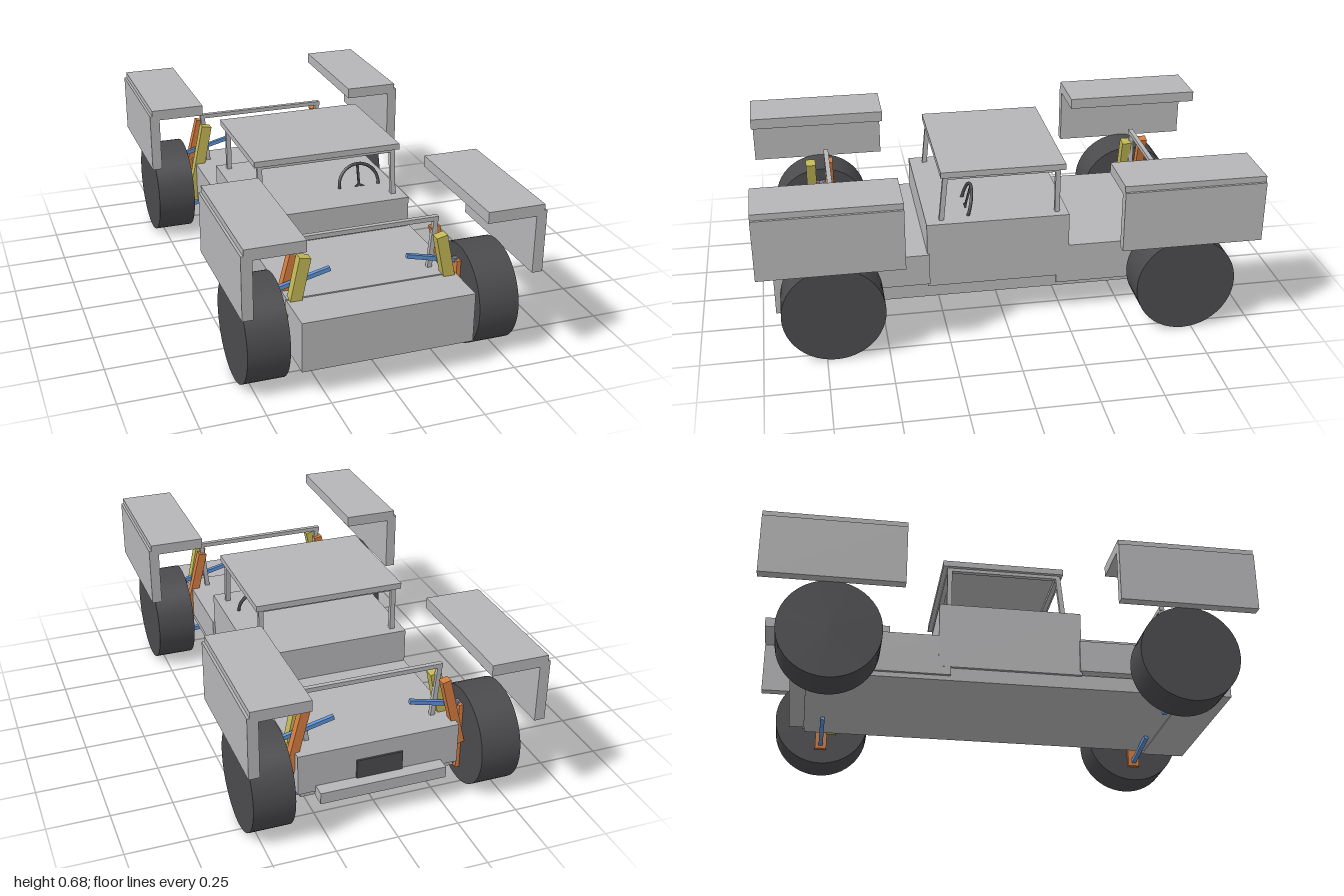
import * as THREE from 'three';

const mat = (name, color) => {
  const m = new THREE.MeshStandardMaterial({ color });
  m.name = name;
  return m;
};

export function createModel() {
  const model = new THREE.Group();
  model.name = 'buggy';
  const grey = mat('bodyGrey', 0xb6b6b8);
  const dark = mat('rubberDark', 0x4b4b4e);
  const blue = mat('armBlue', 0x5f93d4);
  const orange = mat('strutOrange', 0xd37c3f);
  const yellow = mat('shockYellow', 0xc2b856);

  const add = (name, geometry, material) => {
    const mesh = new THREE.Mesh(geometry, material);
    mesh.name = name;
    model.add(mesh);
    return mesh;
  };
  // Box given by its limits on each axis
  const box = (name, material, [x0, x1], [y0, y1], [z0, z1]) =>
    add(name, new THREE.BoxGeometry(x1 - x0, y1 - y0, z1 - z0), material)
      .position.set((x0 + x1) / 2, (y0 + y1) / 2, (z0 + z1) / 2);
  // Square bar from a to b; w is its width across, d its depth along z
  const bar = (name, material, a, b, w, d = w) => {
    const A = new THREE.Vector3(...a), B = new THREE.Vector3(...b);
    const dir = B.clone().sub(A);
    const mesh = add(name, new THREE.BoxGeometry(w, dir.length(), d), material);
    mesh.position.copy(A).add(B).multiplyScalar(0.5);
    mesh.quaternion.setFromUnitVectors(new THREE.Vector3(0, 1, 0), dir.normalize());
  };

  // Chassis and body
  box('floor', grey, [-0.32, 0.32], [0.12, 0.18], [-0.79, 0.8]);
  box('nose', grey, [-0.345, 0.345], [0.115, 0.32], [0.75, 0.94]);
  box('hood', grey, [-0.343, 0.343], [0.19, 0.325], [0.31, 0.76]);
  box('cab', grey, [-0.333, 0.333], [0.175, 0.455], [-0.27, 0.318]);
  box('rearDeck', grey, [-0.332, 0.332], [0.14, 0.312], [-0.8, -0.22]);
  box('rearBumper', grey, [-0.26, 0.26], [0.117, 0.165], [-0.855, -0.79]);
  box('rearPlate', dark, [-0.095, 0.095], [0.15, 0.245], [-0.808, -0.8]);

  // Roof with its frame and posts
  box('roof', grey, [-0.312, 0.312], [0.648, 0.673], [-0.255, 0.255]);
  for (const z of [-0.226, 0.234])
    box('roofCrossRail', grey, [-0.297, 0.297], [0.634, 0.65], [z - 0.01, z + 0.01]);
  for (const s of [-1, 1]) {
    const x = s * 0.287;
    box('roofSideRail', grey, [x - 0.01, x + 0.01], [0.634, 0.65], [-0.236, 0.244]);
    bar('frontPost', grey, [x, 0.645, 0.234], [x, 0.165, 0.282], 0.02);
    bar('rearPost', grey, [x, 0.645, -0.226], [x, 0.3, -0.226], 0.02);
  }

  // Steering wheel
  const steering = new THREE.Group();
  steering.name = 'steeringWheel';
  steering.position.set(0.182, 0.462, 0.138);
  steering.rotation.x = -0.26;
  const rim = new THREE.Mesh(new THREE.TorusGeometry(0.088, 0.007, 8, 40), dark);
  rim.name = 'steeringRim';
  steering.add(rim);
  for (let i = 0; i < 3; i++) {
    const a = (i * Math.PI * 2) / 3;
    const spoke = new THREE.Mesh(new THREE.BoxGeometry(0.009, 0.088, 0.008), dark);
    spoke.name = 'steeringSpoke';
    spoke.position.set(-Math.sin(a) * 0.044, Math.cos(a) * 0.044, 0);
    spoke.rotation.z = a;
    steering.add(spoke);
  }
  model.add(steering);

  // Wheels, fenders and suspension on both axles
  const tyre = new THREE.CylinderGeometry(0.205, 0.205, 0.165, 48).rotateZ(Math.PI / 2);
  for (const end of [1, -1]) {
    const z = end * 0.713;
    const hoopZ = end > 0 ? 0.685 : -0.695;
    box('towerBar', grey, [-0.295, 0.295], [0.523, 0.541], [hoopZ - 0.01, hoopZ + 0.01]);
    for (const s of [1, -1]) {
      add('wheel', tyre, dark).position.set(s * 0.462, 0.205, z);

      const spanZ = end > 0 ? [0.428, 1] : [-1, -0.428];
      const spanX = (a, b) => (s > 0 ? [a, b] : [-b, -a]);
      box('fenderTop', grey, spanX(0.346, 0.574), [0.637, 0.682], spanZ);
      box('fenderSide', grey, spanX(0.542, 0.584), [0.405, 0.657], spanZ);

      bar('towerLeg', grey, [s * 0.285, 0.535, hoopZ], [s * 0.262, 0.3, hoopZ], 0.019);
      bar('shock', yellow, [s * 0.275, 0.492, z + 0.042], [s * 0.352, 0.13, z + 0.042], 0.046, 0.042);
      bar('strut', orange, [s * 0.285, 0.495, z - 0.037], [s * 0.36, 0.2, z - 0.037], 0.036);
      box('upright', orange, spanX(0.361, 0.378), [0.062, 0.355], [z - 0.025, z + 0.025]);
      box('hubPin', yellow, spanX(0.34, 0.38), [0.222, 0.236], [z - 0.007, z + 0.06]);
      bar('upperArm', blue, [s * 0.37, 0.35, z], [s * 0.157, 0.402, z], 0.017);
      bar('lowerArm', blue, [s * 0.37, 0.082, z], [s * 0.14, 0.116, z], 0.018);
    }
  }
  return model;
}
